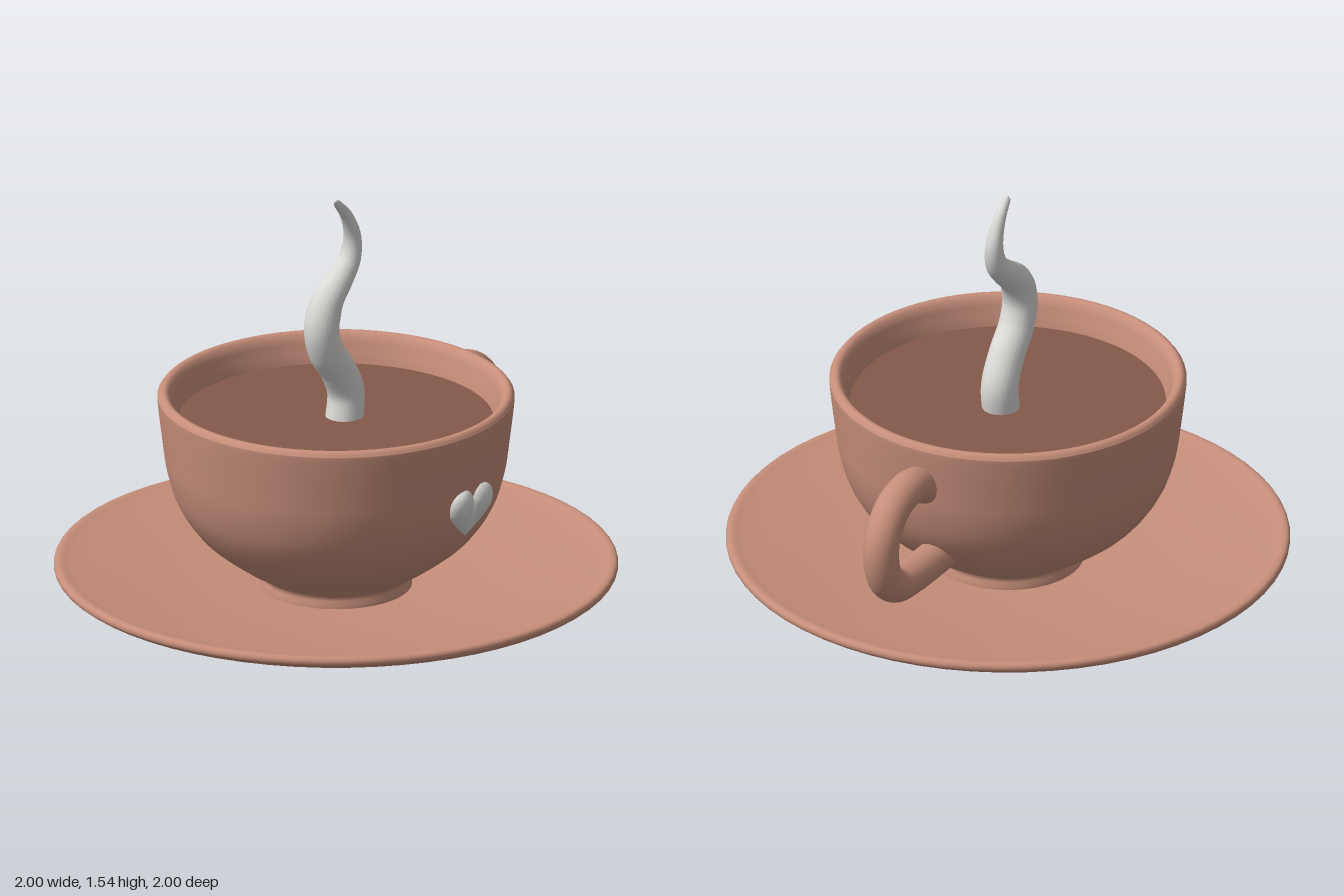
import * as THREE from 'three';

const material = (name, color) => {
  const m = new THREE.MeshStandardMaterial({ color });
  m.name = name;
  return m;
};

const v2 = ([x, y]) => new THREE.Vector2(x, y);
const v3 = ([x, y]) => new THREE.Vector3(x, y, 0);

// Smooth curve through a few profile points
const smooth = (pts, n) => new THREE.SplineCurve(pts.map(v2)).getPoints(n);

// Tube in the XY plane whose radius follows radiusAt(u)
function taperedTube(pts, segments, radiusAt) {
  const curve = new THREE.CatmullRomCurve3(pts.map(v3));
  const sides = 24;
  const geo = new THREE.TubeGeometry(curve, segments, 1, sides);
  const pos = geo.attributes.position;
  const p = new THREE.Vector3();
  for (let i = 0; i <= segments; i++) {
    const c = curve.getPointAt(i / segments);
    for (let j = 0; j <= sides; j++) {
      const k = i * (sides + 1) + j;
      p.fromBufferAttribute(pos, k).sub(c).multiplyScalar(radiusAt(i / segments)).add(c);
      pos.setXYZ(k, p.x, p.y, p.z);
    }
  }
  return geo;
}

export function createModel() {
  const clay = material('clay', 0xc68e7a);
  const coffee = material('coffee', 0x85594a);
  const white = material('white', 0xdad9d6);
  const model = new THREE.Group();

  const add = (name, geo, mat, parent = model) => {
    const mesh = new THREE.Mesh(geo, mat);
    mesh.name = name;
    parent.add(mesh);
    return mesh;
  };

  // Saucer: shallow dish with a rounded lip
  add('saucer', new THREE.LatheGeometry([
    v2([0, 0]),
    ...smooth([[0.25, 0], [0.48, 0.022], [0.74, 0.068], [0.94, 0.127], [0.99, 0.15],
      [1, 0.167], [0.993, 0.181], [0.975, 0.184], [0.95, 0.178]], 40),
    ...smooth([[0.9, 0.168], [0.6, 0.122], [0.3, 0.096], [0.001, 0.09]], 12),
  ], 64), clay);

  // Cup: flared foot, round bowl, rolled lip and inner wall
  add('cup', new THREE.LatheGeometry([
    ...smooth([[0.27, 0.085], [0.268, 0.11], [0.262, 0.135], [0.285, 0.152]], 6),
    ...smooth([[0.34, 0.185], [0.47, 0.285], [0.555, 0.4], [0.597, 0.52], [0.615, 0.64],
      [0.632, 0.785], [0.63, 0.808], [0.617, 0.821], [0.6, 0.819], [0.585, 0.8],
      [0.575, 0.77], [0.557, 0.7], [0.53, 0.52]], 56),
    ...smooth([[0.5, 0.42], [0.4, 0.29], [0.25, 0.2], [0.001, 0.18]], 10),
  ], 64), clay);

  // Drink surface
  const drink = add('drink', new THREE.CircleGeometry(0.562, 64), coffee);
  drink.rotation.x = -Math.PI / 2;
  drink.position.y = 0.713;

  // Handle on the left side
  add('handle', taperedTube([[0.585, 0.64], [0.64, 0.672], [0.72, 0.684], [0.81, 0.66],
    [0.88, 0.585], [0.898, 0.5], [0.868, 0.4], [0.8, 0.342], [0.69, 0.326], [0.44, 0.322]],
  64, () => 0.064), clay);

  // Steam: curling wisp that narrows to a rounded tip
  const steamRadius = (u) => {
    const r = u < 0.5 ? 0.068 - 0.012 * u : THREE.MathUtils.lerp(0.062, 0.013, (u - 0.5) / 0.5);
    const t = Math.max(0, (u - 0.985) / 0.015);
    return r * Math.sqrt(Math.max(0, 1 - t * t)) + 1e-4;
  };
  add('steam', taperedTube([[0.045, 0.68], [0.058, 0.8], [0.01, 0.9], [-0.06, 0.99],
    [-0.085, 1.08], [-0.055, 1.17], [0.02, 1.235], [0.08, 1.295], [0.097, 1.37],
    [0.065, 1.46], [0, 1.535]], 90, steamRadius), white);

  // Heart: two flattened teardrops meeting at the lower tip
  const heart = new THREE.Group();
  heart.name = 'heart';
  heart.position.set(0, 0.402, 0.57);
  heart.rotation.x = 0.13;
  heart.scale.z = 0.75;
  const lobe = new THREE.LatheGeometry(
    smooth([[0.001, 0], [0.022, 0.04], [0.044, 0.085], [0.058, 0.125], [0.06, 0.147],
      [0.054, 0.174], [0.035, 0.197], [0.001, 0.207]], 28), 28);
  for (const side of [-1, 1]) {
    add(side < 0 ? 'heartRight' : 'heartLeft', lobe, white, heart).rotation.z = -side * 0.385;
  }
  model.add(heart);

  return model;
}
